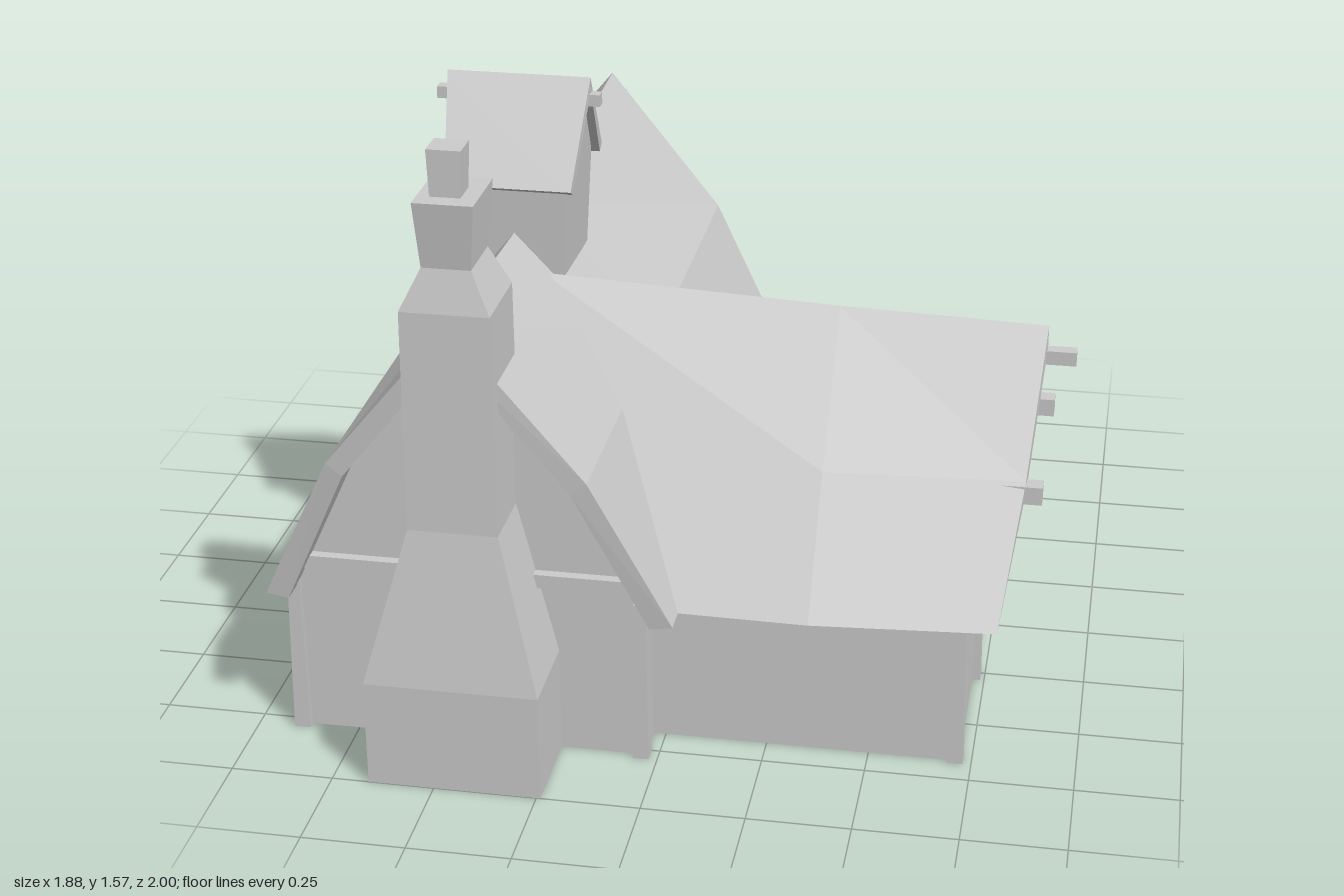
import * as THREE from 'three';

const solid = new THREE.MeshStandardMaterial({ color: 0xcccccc, flatShading: true });
const thin = new THREE.MeshStandardMaterial({ color: 0xcccccc, flatShading: true, side: THREE.DoubleSide });

// Joins matching rings of [x, y, z] points; rings run anticlockwise seen from the last ring.
function loft(rings, capped = true) {
  const n = rings[0].length, index = [];
  const quad = (a, b, c, d) => index.push(a, b, c, a, c, d);
  for (let r = 0; r < rings.length - 1; r++) {
    for (let i = 0; i < n; i++) {
      const j = (i + 1) % n;
      quad(r * n + i, r * n + j, (r + 1) * n + j, (r + 1) * n + i);
    }
  }
  if (capped) {
    const e = (rings.length - 1) * n;
    for (let i = 0; i < n / 2 - 1; i++) {
      quad(n - 1 - i, n - 2 - i, i + 1, i);
      quad(e + i, e + i + 1, e + n - 2 - i, e + n - 1 - i);
    }
  }
  const g = new THREE.BufferGeometry();
  g.setAttribute('position', new THREE.Float32BufferAttribute(rings.flat(2), 3));
  g.setIndex(index);
  const flat = g.toNonIndexed();
  flat.computeVertexNormals();
  return flat;
}

// Horizontal rectangular ring for upright lofts
const rect = (y, x0, x1, z0, z1) => [[x1, y, z1], [x1, y, z0], [x0, y, z0], [x0, y, z1]];

export function createModel() {
  const house = new THREE.Group();
  house.name = 'cottage';
  const add = (name, geometry, material = solid) => {
    const mesh = new THREE.Mesh(geometry, material);
    mesh.name = name;
    house.add(mesh);
    return mesh;
  };
  const box = (name, x0, x1, y0, y1, z0, z1) =>
    add(name, new THREE.BoxGeometry(x1 - x0, y1 - y0, z1 - z0))
      .position.set((x0 + x1) / 2, (y0 + y1) / 2, (z0 + z1) / 2);

  // Low walls around the L-shaped plan
  const plan = [[-0.89, 0.77], [-0.03, 0.77], [-0.03, 0.67], [0.72, 0.67],
    [0.72, -0.15], [-0.03, -0.15], [-0.03, -0.79], [-0.89, -0.79]];
  add('walls', loft([0, 0.42].map(y => plan.map(([x, z]) => [x, y, z])), false), thin);

  // Gable walls under the roof ends
  const gable = (name, points) =>
    add(name, new THREE.ShapeGeometry(new THREE.Shape(points.map(p => new THREE.Vector2(...p)))), thin);
  const mainGable = [[-0.89, 0.42], [-0.03, 0.42], [-0.17, 0.74], [-0.45, 1.1], [-0.73, 0.74]];
  gable('frontGable', mainGable).position.z = 0.77;
  gable('backGable', mainGable).position.z = -0.79;
  const wingGable = gable('wingGable', [[-0.67, 0.42], [0.15, 0.42], [-0.265, 0.95]]);
  wingGable.rotation.y = Math.PI / 2;
  wingGable.position.x = 0.72;

  // Main roof: thick shell with a knee on each slope and a sagging ridge
  const mainRing = (zEave, zKnee, zRidge, top) => [
    [0.05, 0.4, zEave], [-0.14, 0.78, zKnee], [-0.45, top, zRidge], [-0.76, 0.78, zKnee], [-0.94, 0.4, zEave],
    [-0.885, 0.39, zEave], [-0.72, 0.75, zKnee], [-0.45, top - 0.07, zRidge], [-0.18, 0.75, zKnee], [-0.005, 0.39, zEave]];
  add('mainRoof', loft([
    mainRing(-0.87, -0.91, -0.935, 1.155),
    mainRing(0, 0, 0, 1.12),
    mainRing(0.84, 0.88, 0.9, 1.16)]));

  // Wing roof: starts along the valley and flares at the outer end
  const wingRing = (xEave, xKnee, xRidge, back, front, top, knee) => {
    const kb = 0.265 - knee, kf = 0.265 + knee;
    return [
      [xEave, 0.4, back], [xKnee, 0.69, kb], [xRidge, top, 0.265], [xKnee, 0.69, kf], [xEave, 0.4, front],
      [xEave, 0.39, front - 0.05], [xKnee, 0.65, kf - 0.03], [xRidge, top - 0.06, 0.265],
      [xKnee, 0.65, kb + 0.03], [xEave, 0.39, back + 0.05]];
  };
  add('wingRoof', loft([
    wingRing(0.03, -0.11, -0.38, -0.22, 0.77, 1.035, 0.275),
    wingRing(0.36, 0.36, 0.36, -0.25, 0.775, 1.0, 0.285),
    wingRing(0.8, 0.84, 0.865, -0.21, 0.74, 0.985, 0.25)]));

  // Eyebrow dormer on the back slope of the wing
  const brow = [];
  for (let i = 0; i <= 8; i++) {
    const t = i / 4 - 1, h = Math.cos(t * Math.PI / 2), x = 0.305 + 0.185 * t;
    const y = 0.42 + 0.15 * h, z = -0.22 - 0.125 * h;
    brow.push([[x, 0.395, -0.23], [x, y - 0.04 * h, z + 0.012 * h], [x, y, z],
      [0.305 + 0.165 * t, 0.62 + 0.07 * h, -0.05 + 0.05 * h]]);
  }
  add('dormer', loft(brow));

  // Chimney stack with a wide foot, a waist, a flared top and a pot
  add('chimney', loft([
    rect(0, -0.66, -0.24, 0.74, 1.0),
    rect(0.27, -0.66, -0.24, 0.74, 1.0),
    rect(0.66, -0.55, -0.335, 0.73, 0.945),
    rect(1.2, -0.55, -0.34, 0.72, 0.93),
    rect(1.3, -0.5, -0.385, 0.755, 0.905),
    rect(1.46, -0.51, -0.37, 0.745, 0.925)]));
  add('chimneyPot', loft([
    rect(1.45, -0.48, -0.41, 0.81, 0.88),
    rect(1.57, -0.485, -0.405, 0.805, 0.88)]));

  // Ridge turret with its own little roof
  add('turretWalls', loft([
    rect(0.95, -0.565, -0.34, -0.06, 0.245),
    rect(1.25, -0.6, -0.32, -0.05, 0.26),
    rect(1.46, -0.62, -0.305, 0.094, 0.096)]));
  const turretRing = (xEave, xRidge) => [
    [xEave, 1.255, -0.085], [xRidge, 1.49, 0.1], [xEave, 1.255, 0.28],
    [xEave, 1.24, 0.255], [xRidge, 1.455, 0.1], [xEave, 1.24, -0.06]];
  add('turretRoof', loft([turretRing(-0.615, -0.645), turretRing(-0.3, -0.285)]));
  box('turretRidgeBeam', -0.67, -0.26, 1.42, 1.45, 0.085, 0.115);

  // Timber posts, slightly tapered
  const posts = [[-0.89, 0.77], [-0.04, 0.77], [-0.89, -0.78], [-0.04, -0.78], [-0.895, 0], [-0.45, -0.79],
    [0.71, 0.662], [0.71, -0.145], [0.72, 0.265], [0.35, -0.155], [-0.025, -0.155]];
  for (const [x, z] of posts) {
    const a = 0.02, b = 0.015;
    add('post', loft([rect(0, x - a, x + a, z - a, z + a), rect(0.42, x - b, x + b, z - b, z + b)]));
  }

  // Horizontal beams across the gables
  box('frontBeam', -0.87, -0.04, 0.45, 0.485, 0.76, 0.795);
  box('backBeam', -0.87, -0.04, 0.45, 0.485, -0.815, -0.78);
  box('wingBeam', 0.71, 0.745, 0.445, 0.48, 0.11, 0.66);

  // Purlin ends poking out below the roof edges
  box('ridgePurlin', -0.478, -0.422, 1.03, 1.085, -1.0, -0.77);
  for (const x of [-0.72, -0.18]) box('sidePurlin', x - 0.028, x + 0.028, 0.715, 0.765, -0.955, -0.77);
  box('wingRidgePurlin', 0.7, 0.935, 0.89, 0.925, 0.248, 0.282);
  for (const z of [0.505, 0.01]) box('wingSidePurlin', 0.7, 0.88, 0.635, 0.68, z - 0.022, z + 0.022);

  return house;
}
